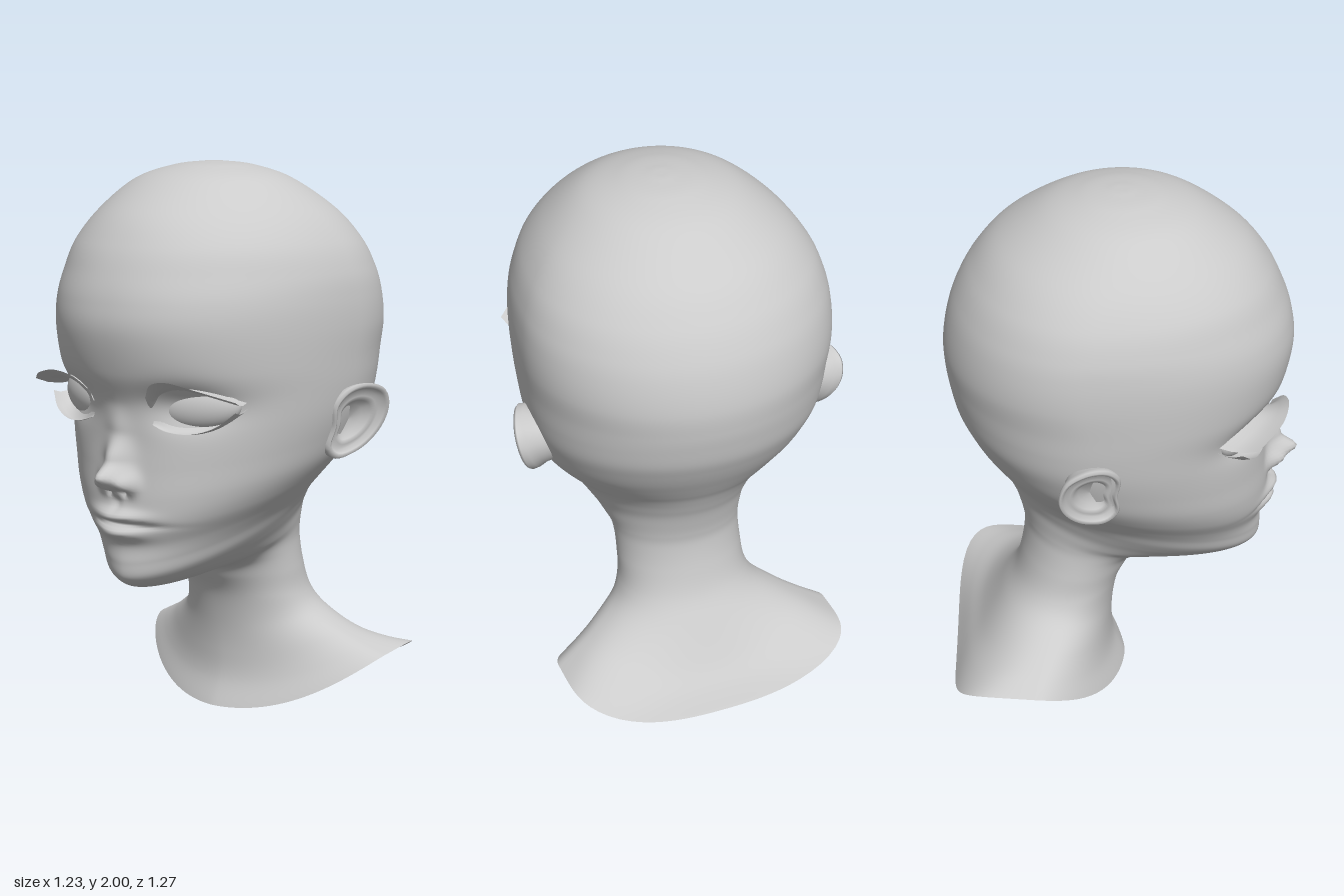
import * as THREE from 'three';

const V = (x, y, z) => new THREE.Vector3(x, y, z);
const bump = (d, s) => Math.exp(-(d * d) / (s * s));
const skin = new THREE.MeshStandardMaterial({ color: 0xcccccc, roughness: 0.8, side: THREE.DoubleSide });

// Smooth grid surface through rows of points; closed rows wrap around
function loft(rows, closed) {
  const n = rows[0].length, index = [], pos = [];
  rows.forEach(r => r.forEach(p => pos.push(p.x, p.y, p.z)));
  for (let r = 0; r < rows.length - 1; r++) {
    for (let c = 0; c < (closed ? n : n - 1); c++) {
      const d = (c + 1) % n, a = r * n, b = a + n;
      index.push(a + c, a + d, b + c, a + d, b + d, b + c);
    }
  }
  const g = new THREE.BufferGeometry();
  g.setAttribute('position', new THREE.Float32BufferAttribute(pos, 3));
  g.setIndex(index);
  g.computeVertexNormals();
  return g;
}

function addMesh(group, geometry, name) {
  const m = new THREE.Mesh(geometry, skin);
  m.name = name;
  group.add(m);
  return m;
}

// Tilted rings: front z, front y, back z, back y, half width, widest spot, front and back roundness
const neckRings = [
  [0.01, 0, -0.635, 0.07, 0.53, 0.53, 1.6, 5],
  [-0.03, 0.1, -0.59, 0.14, 0.46, 0.5, 1.7, 3.5],
  [-0.04, 0.2, -0.53, 0.22, 0.38, 0.5, 1.8, 2.6],
  [-0.035, 0.31, -0.455, 0.34, 0.28, 0.5, 2, 2.2],
  [-0.015, 0.42, -0.4, 0.44, 0.24, 0.5, 2.1, 2.1],
  [0.02, 0.49, -0.372, 0.55, 0.232, 0.5, 2, 2],
  [0.06, 0.54, -0.36, 0.65, 0.23, 0.5, 2, 2],
  [0.15, 0.553, -0.366, 0.71, 0.235, 0.55, 1.9, 2],
  [0.27, 0.537, -0.38, 0.77, 0.25, 0.57, 1.8, 2],
  [0.38, 0.526, -0.395, 0.82, 0.265, 0.58, 1.7, 2],
];
const faceRings = [
  [0.46, 0.54, -0.412, 0.86, 0.285, 0.58, 1.7, 2],
  [0.505, 0.575, -0.43, 0.9, 0.308, 0.57, 1.75, 2],
  [0.512, 0.63, -0.45, 0.94, 0.335, 0.57, 1.8, 2],
  [0.51, 0.69, -0.475, 0.98, 0.37, 0.57, 1.9, 2],
  [0.53, 0.77, -0.505, 1.03, 0.42, 0.57, 2, 2],
  [0.53, 0.86, -0.54, 1.09, 0.465, 0.57, 2.05, 2],
  [0.52, 0.97, -0.57, 1.15, 0.495, 0.57, 2.1, 2],
  [0.515, 1.08, -0.595, 1.21, 0.518, 0.57, 2.15, 2],
  [0.53, 1.19, -0.611, 1.28, 0.532, 0.57, 2.15, 2],
  [0.572, 1.3, -0.622, 1.35, 0.54, 0.58, 2.15, 2],
];
const skullRings = [
  [0.6, 1.44, -0.626, 1.44, 0.548, 0.6, 2.15, 2],
  [0.59, 1.54, -0.61, 1.54, 0.545, 0.6, 2.15, 2],
  [0.56, 1.63, -0.58, 1.63, 0.53, 0.59, 2.1, 2],
  [0.51, 1.73, -0.525, 1.73, 0.49, 0.58, 2.1, 2],
  [0.425, 1.835, -0.435, 1.835, 0.41, 0.55, 2, 2],
  [0.28, 1.938, -0.28, 1.938, 0.28, 0.5, 2, 2],
  [0.15, 1.984, -0.15, 1.984, 0.15, 0.5, 2, 2],
  [0.05, 1.998, -0.05, 1.998, 0.05, 0.5, 2, 2],
  [0, 2, 0, 2, 0, 0.5, 2, 2],
];

// Height of the nose ridge above the face at each y
const noseSteps = [[0.86, 0], [0.885, 0.02], [0.91, 0.08], [0.945, 0.116], [1.0, 0.06], [1.1, 0.016], [1.2, 0]];
function noseHeight(y) {
  for (let i = 1; i < noseSteps.length; i++) {
    const [y0, h0] = noseSteps[i - 1], [y1, h1] = noseSteps[i];
    if (y >= y0 && y <= y1) return h0 + (h1 - h0) * THREE.MathUtils.smoothstep(y, y0, y1);
  }
  return 0;
}

// Facial relief added to the plain head: nose, nostrils, lips and eye sockets
function relief(x, y) {
  const ax = Math.abs(x);
  let d = noseHeight(y) * bump(x, 0.05);
  d += 0.04 * bump(ax - 0.06, 0.026) * bump(y - 0.92, 0.03);
  d -= 0.03 * bump(ax - 0.032, 0.017) * bump(y - 0.89, 0.014);
  d += 0.038 * bump(x, 0.1) * bump(y - 0.803, 0.022);
  d += 0.035 * bump(x, 0.09) * bump(y - 0.742, 0.025);
  d -= 0.024 * bump(x, 0.13) * bump(y - 0.774, 0.011);
  d -= 0.008 * bump(x, 0.018) * bump(y - 0.845, 0.03);
  d -= 0.045 * bump(ax - 0.255, 0.13) * bump(y - 1.19, 0.075);
  return d;
}

function headRows() {
  const rings = [...neckRings, ...faceRings, ...skullRings], rows = [], steps = 10, segs = 140;
  const last = rings.length - 1;
  for (let i = 0; i <= last * steps; i++) {
    const k = Math.min(Math.floor(i / steps), last - 1), t = i / steps - k;
    const p1 = rings[k], p2 = rings[k + 1];
    const [zF, yF, zB, yB, w, c, nf, nb] = p1.map((v, j) => {
      const v0 = k > 0 ? rings[k - 1][j] : 2 * v - p2[j];
      const v3 = k + 2 <= last ? rings[k + 2][j] : 2 * p2[j] - v;
      const m1 = (p2[j] - v0) / 2, m2 = (v3 - v) / 2, e = p2[j] - v;
      return v + t * (m1 + t * (3 * e - 2 * m1 - m2 + t * (m1 + m2 - 2 * e)));
    });
    const zc = zF + (zB - zF) * c, yc = yF + (yB - yF) * c;
    const lift = 0.17 * Math.pow(Math.max(0, 1 - Math.max(0, yF) / 0.42), 1.3);
    const row = [];
    for (let j = 0; j < segs; j++) {
      const th = (j / segs) * Math.PI * 2, a = th - 0.5 * Math.sin(th);
      const co = Math.cos(a), si = Math.sin(a), n = co > 0 ? nf : nb;
      const r = Math.pow(Math.pow(Math.abs(co), n) + Math.pow(Math.abs(si), n), -1 / n);
      const f = Math.abs(co) * r, x = w * si * r;
      const y = yc + ((co > 0 ? yF : yB) - yc) * f + lift * Math.pow(Math.abs(si * r), 2.5);
      const z = zc + ((co > 0 ? zF : zB) - zc) * f;
      row.push(V(x, y, z + relief(x, y) * THREE.MathUtils.smoothstep(z, 0.12, 0.3)));
    }
    rows.push(row);
  }
  return rows;
}

// Ear: one outline in z and y, scaled into back, rim, fold and bowl
function earGeometry(side) {
  const outline = new THREE.CatmullRomCurve3([
    [-0.02, 1.17], [-0.06, 1.225], [-0.13, 1.243], [-0.205, 1.215], [-0.232, 1.15],
    [-0.215, 1.07], [-0.155, 1.0], [-0.07, 0.972], [-0.025, 1.01], [-0.03, 1.09],
  ].map(([z, y]) => V(0, y, z)), true).getPoints(47);
  outline.pop();
  const layers = [[0.72, -0.13], [0.86, -0.05], [0.97, -0.022], [1, 0], [0.95, 0.01], [0.86, 0.004],
    [0.78, -0.014], [0.64, -0.008], [0.52, -0.016], [0.38, -0.036], [0.01, -0.042]];
  return loft(layers.map(([s, off]) => {
    const row = outline.map(p => {
      const z = -0.125 + (p.z + 0.125) * s, y = 1.11 + (p.y - 1.11) * s;
      return V(side * (0.515 - (z + 0.05) * 0.4 + (y - 1.1) * 0.25 + off), y, z);
    });
    return side < 0 ? row.reverse() : row;
  }), true);
}

export function createModel() {
  const model = new THREE.Group();
  const rows = headRows();
  addMesh(model, loft(rows, true), 'headAndNeck');

  // Height of the face at a point, as a weighted mean of nearby skin
  const skinPoints = rows.flat().filter(p => p.z > 0.15 && p.y > 1 && p.y < 1.4);
  const faceZ = (x, y) => {
    let sum = 0, weight = 1e-12;
    for (const p of skinPoints) {
      const g = Math.exp(-((p.x - x) ** 2 + (p.y - y) ** 2) / 0.00015);
      sum += g * p.z;
      weight += g;
    }
    return sum / weight;
  };

  // Lash sheet between a lid line on the skin and a free outer edge
  const lash = (side, inner, outer) => {
    const a = new THREE.CatmullRomCurve3(inner.map(([x, y]) => V(side * x, y, faceZ(x, y) - 0.004)));
    const b = new THREE.CatmullRomCurve3(outer.map(([x, y, z]) => V(side * x, y, z)));
    const pa = a.getPoints(24), pb = b.getPoints(24);
    const lines = [0, 0.33, 0.67, 1].map(t => pa.map((p, i) => {
      const q = p.clone().lerp(pb[i], t);
      q.y -= 0.012 * Math.sin(Math.PI * t);
      return q;
    }));
    return loft(side < 0 ? lines.map(l => l.reverse()) : lines, false);
  };

  for (const side of [1, -1]) {
    const label = side > 0 ? 'left' : 'right';
    addMesh(model, earGeometry(side), label + 'Ear');

    const eye = addMesh(model, new THREE.SphereGeometry(1, 40, 24), label + 'Eye');
    eye.scale.set(0.145, 0.08, 0.055);
    eye.rotation.set(0, side * 0.42, side * 0.08);
    eye.position.set(side * 0.255, 1.19, faceZ(0.255, 1.19) - 0.03);

    addMesh(model, lash(side,
      [[0.13, 1.185], [0.17, 1.235], [0.25, 1.26], [0.33, 1.245], [0.4, 1.21]],
      [[0.125, 1.225, 0.525], [0.175, 1.275, 0.56], [0.25, 1.292, 0.57], [0.35, 1.272, 0.54], [0.455, 1.23, 0.45]],
    ), label + 'UpperLashes');

    addMesh(model, lash(side,
      [[0.135, 1.165], [0.2, 1.135], [0.28, 1.13], [0.35, 1.15], [0.4, 1.19]],
      [[0.135, 1.13, 0.5], [0.195, 1.112, 0.5], [0.28, 1.108, 0.475], [0.36, 1.135, 0.44], [0.415, 1.185, 0.4]],
    ), label + 'LowerLashes');
  }
  return model;
}
